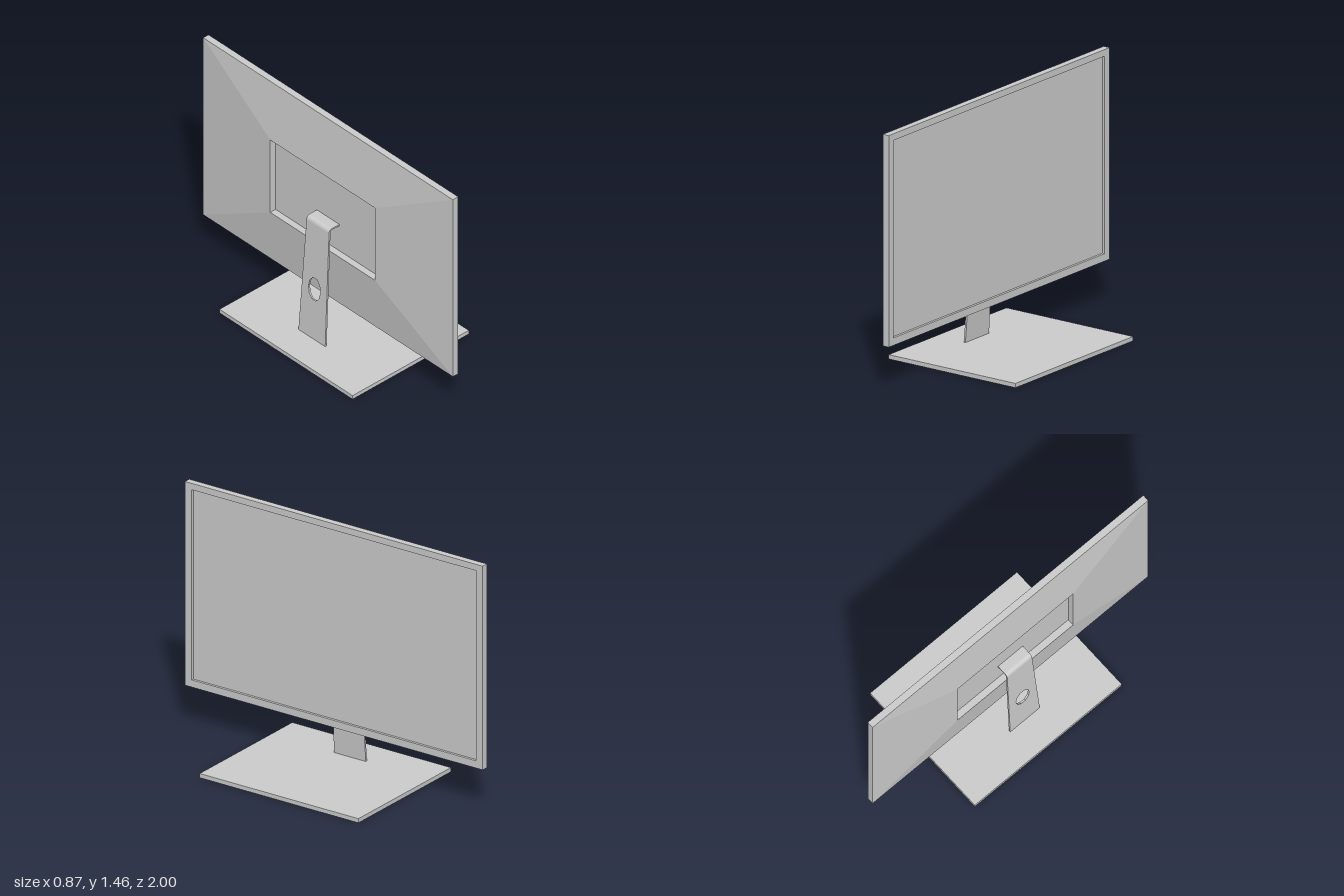
import * as THREE from 'three';

const mat = new THREE.MeshStandardMaterial({ color: 0xcccccc, side: THREE.DoubleSide });

function part(name, geometry, parent) {
  const mesh = new THREE.Mesh(geometry, mat);
  mesh.name = name;
  parent.add(mesh);
  return mesh;
}

// Joins rectangular rings [x, halfWidth, y0, y1] with flat faces and caps the last ring
function loftRects(rings) {
  const pos = [];
  const quad = (a, b, c, d) => pos.push(...a, ...b, ...c, ...a, ...c, ...d);
  const corners = rings.map(([x, h, y0, y1]) => [[x, y0, h], [x, y0, -h], [x, y1, -h], [x, y1, h]]);
  for (let i = 0; i < corners.length - 1; i++) {
    const a = corners[i], b = corners[i + 1];
    for (let k = 0; k < 4; k++) {
      const n = (k + 1) % 4;
      quad(a[k], b[k], b[n], a[n]);
    }
  }
  const e = corners[corners.length - 1];
  quad(e[0], e[3], e[2], e[1]);
  const g = new THREE.BufferGeometry();
  g.setAttribute('position', new THREE.Float32BufferAttribute(pos, 3));
  g.computeVertexNormals();
  return g;
}

export function createModel() {
  const model = new THREE.Group();
  model.name = 'monitor';

  // Display: bezel, rim, sloping back and the recessed mounting bay
  const inner = [0.955, 0.295, 1.425], outer = [1, 0.252, 1.463], bay = [0.42, 0.61, 1.105];
  part('housing', loftRects([
    [-0.095, ...inner], [-0.08, ...inner],
    [-0.08, ...outer], [-0.12, ...outer],
    [-0.16, ...bay], [-0.12, ...bay],
  ]), model);

  const screen = part('screen', new THREE.PlaneGeometry(1.91, 1.13), model);
  screen.rotation.y = Math.PI / 2;
  screen.position.set(-0.095, 0.86, 0);

  // Stand leg: tapered leaning plate with an oval cable hole
  const stand = new THREE.Group();
  stand.name = 'stand';
  model.add(stand);
  const plate = new THREE.Shape([
    new THREE.Vector2(-0.107, 0), new THREE.Vector2(0.107, 0),
    new THREE.Vector2(0.09, 0.745), new THREE.Vector2(-0.09, 0.745),
  ]);
  const hole = new THREE.Path();
  hole.absellipse(0, 0.325, 0.048, 0.075, 0, Math.PI * 2, true);
  plate.holes.push(hole);
  const legGeo = new THREE.ExtrudeGeometry(plate, { depth: 0.011, bevelEnabled: false, curveSegments: 5 });
  legGeo.rotateY(Math.PI / 2);
  legGeo.rotateZ(-0.06);
  legGeo.translate(-0.241, 0.024, 0);
  part('leg', legGeo, stand);

  // Bent neck from the top of the leg into the mounting bay
  const hook = new THREE.Shape();
  hook.moveTo(-0.197, 0.765);
  hook.quadraticCurveTo(-0.195, 0.79, -0.17, 0.79);
  hook.lineTo(-0.12, 0.79);
  hook.lineTo(-0.12, 0.78);
  hook.lineTo(-0.17, 0.78);
  hook.quadraticCurveTo(-0.185, 0.78, -0.186, 0.765);
  const neckGeo = new THREE.ExtrudeGeometry(hook, { depth: 0.18, bevelEnabled: false, curveSegments: 5 });
  neckGeo.translate(0, 0, -0.09);
  part('neck', neckGeo, stand);

  // Base plate
  const base = part('base', new THREE.BoxGeometry(0.866, 0.025, 1.066), model);
  base.position.y = 0.0125;

  // Thin swivel ring on the base, in two halves with small gaps
  for (let i = 0; i < 2; i++) {
    const arc = new THREE.RingGeometry(0.284, 0.292, 6, 1, Math.PI * (i + 0.25) + 0.06, Math.PI - 0.12);
    const ring = part('swivelRing', arc, model);
    ring.rotation.x = -Math.PI / 2;
    ring.position.set(-0.115, 0.026, 0);
  }
  return model;
}
